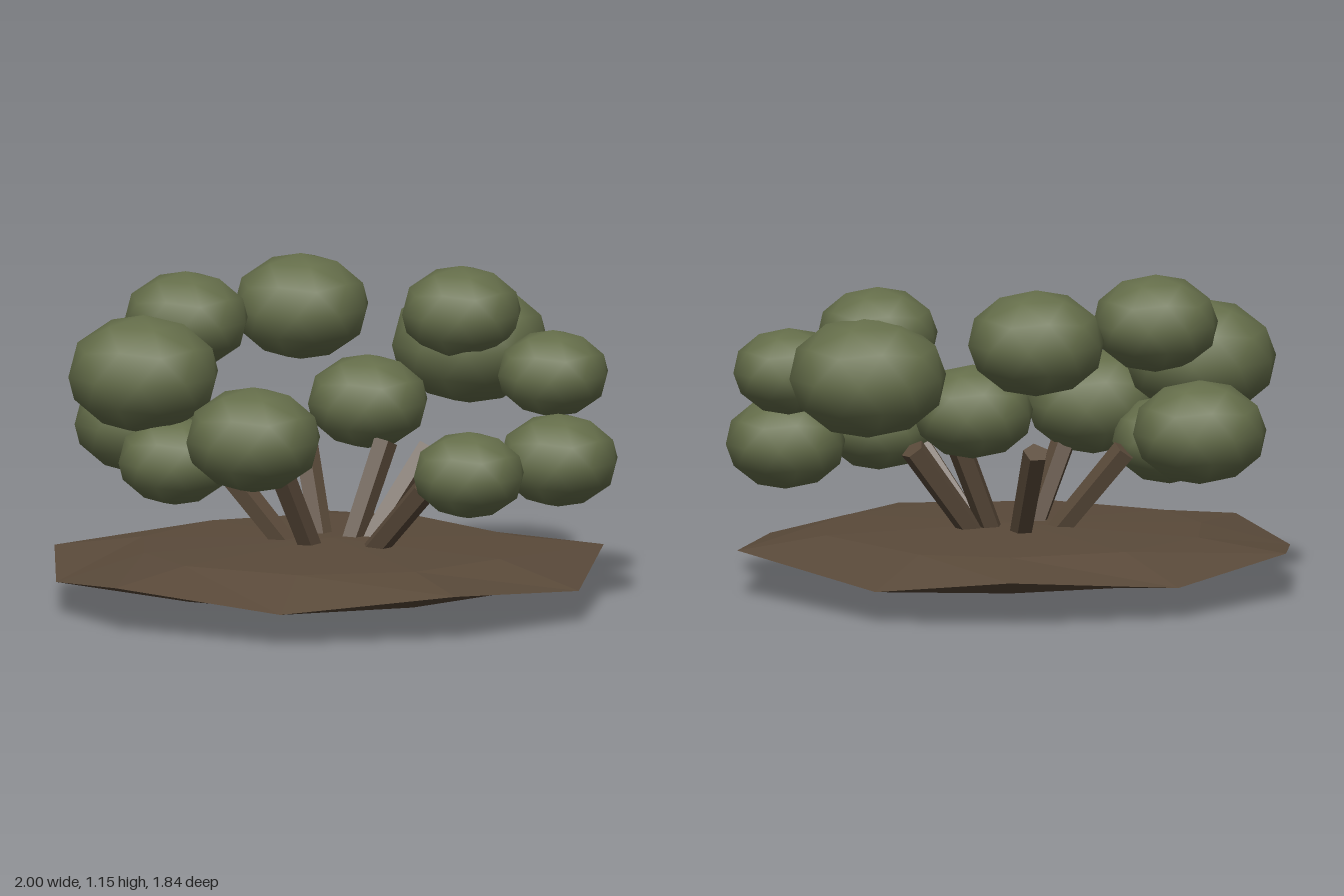
import * as THREE from 'three';

const foliage = new THREE.MeshStandardMaterial({ name: 'foliage green', color: 0x666f4b });
const bark = new THREE.MeshStandardMaterial({ name: 'bark brown', color: 0x5a4a3a, flatShading: true });

// Low, faceted mound: a ten-sided rim with inner rings above and below
function moundGeometry() {
  const rim = [[0.99, 0], [0.73, 0.645], [0.21, 0.915], [-0.41, 0.855], [-0.9, 0.44],
    [-1, 0], [-0.88, -0.48], [-0.41, -0.86], [0.21, -0.92], [0.65, -0.72]];
  const n = rim.length;
  const pos = [0, 0.232, 0];
  const ring = (scale, height) => rim.forEach(([x, z], i) => pos.push(x * scale, height(i), z * scale));
  ring(0.68, () => 0.208);
  ring(1, i => (i % 2 ? 0.118 : 0.165));
  ring(0.66, () => 0.078);
  pos.push(0, 0.052, 0);
  const idx = [];
  const last = 3 * n + 1;
  for (let i = 0; i < n; i++) {
    const j = (i + 1) % n;
    idx.push(0, 1 + j, 1 + i);
    for (let r = 0; r < 2; r++) {
      const a = 1 + r * n + i, b = 1 + r * n + j;
      idx.push(a, b, a + n, b, b + n, a + n);
    }
    idx.push(last, 1 + 2 * n + i, 1 + 2 * n + j);
  }
  const g = new THREE.BufferGeometry();
  g.setAttribute('position', new THREE.Float32BufferAttribute(pos, 3));
  g.setIndex(idx);
  g.computeVertexNormals();
  return g;
}

// Straight five-sided branch from the shared root to its tip
function branch(x, y, z) {
  const root = new THREE.Vector3(x, 0, z).multiplyScalar(0.04).setY(0.025);
  const tip = new THREE.Vector3(x, y, z);
  const dir = tip.clone().sub(root);
  const mesh = new THREE.Mesh(new THREE.CylinderGeometry(0.046, 0.04, dir.length(), 5), bark);
  mesh.position.copy(root).add(tip).multiplyScalar(0.5);
  mesh.quaternion.setFromUnitVectors(new THREE.Vector3(0, 1, 0), dir.normalize());
  mesh.name = 'branch';
  return mesh;
}

export function createModel() {
  const model = new THREE.Group();
  model.name = 'shrub';

  const mound = new THREE.Mesh(moundGeometry(), bark);
  mound.name = 'groundMound';
  model.add(mound);

  const branches = new THREE.Group();
  branches.name = 'branches';
  [[0, 0.54, -0.39], [0.25, 0.45, 0.34], [-0.24, 0.54, 0.16],
    [-0.37, 0.5, -0.16], [0.38, 0.52, -0.1], [0.22, 0.55, -0.1]]
    .forEach(tip => branches.add(branch(...tip)));
  model.add(branches);

  // Flattened leaf clumps: x, y, z, radius
  const clumpGeometry = new THREE.IcosahedronGeometry(1, 1);
  clumpGeometry.rotateX(-Math.atan((1 + Math.sqrt(5)) / 2));
  const crown = new THREE.Group();
  crown.name = 'crown';
  [[0.04, 0.96, -0.575, 0.245], [0.61, 0.835, -0.41, 0.282], [0.545, 0.965, -0.275, 0.216],
    [0.795, 0.79, 0.04, 0.2], [0.77, 0.51, 0.21, 0.215], [0.38, 0.515, 0.455, 0.2],
    [0.195, 0.67, -0.24, 0.217], [-0.33, 0.625, 0.175, 0.243], [-0.645, 0.82, -0.147, 0.272],
    [-0.445, 0.975, -0.32, 0.225], [-0.58, 0.6, -0.43, 0.24], [-0.55, 0.52, -0.07, 0.205]]
    .forEach(([x, y, z, r]) => {
      const clump = new THREE.Mesh(clumpGeometry, foliage);
      clump.position.set(x, y, z);
      clump.scale.set(r, r * 0.77, r);
      clump.name = 'leafClump';
      crown.add(clump);
    });
  model.add(crown);

  return model;
}
